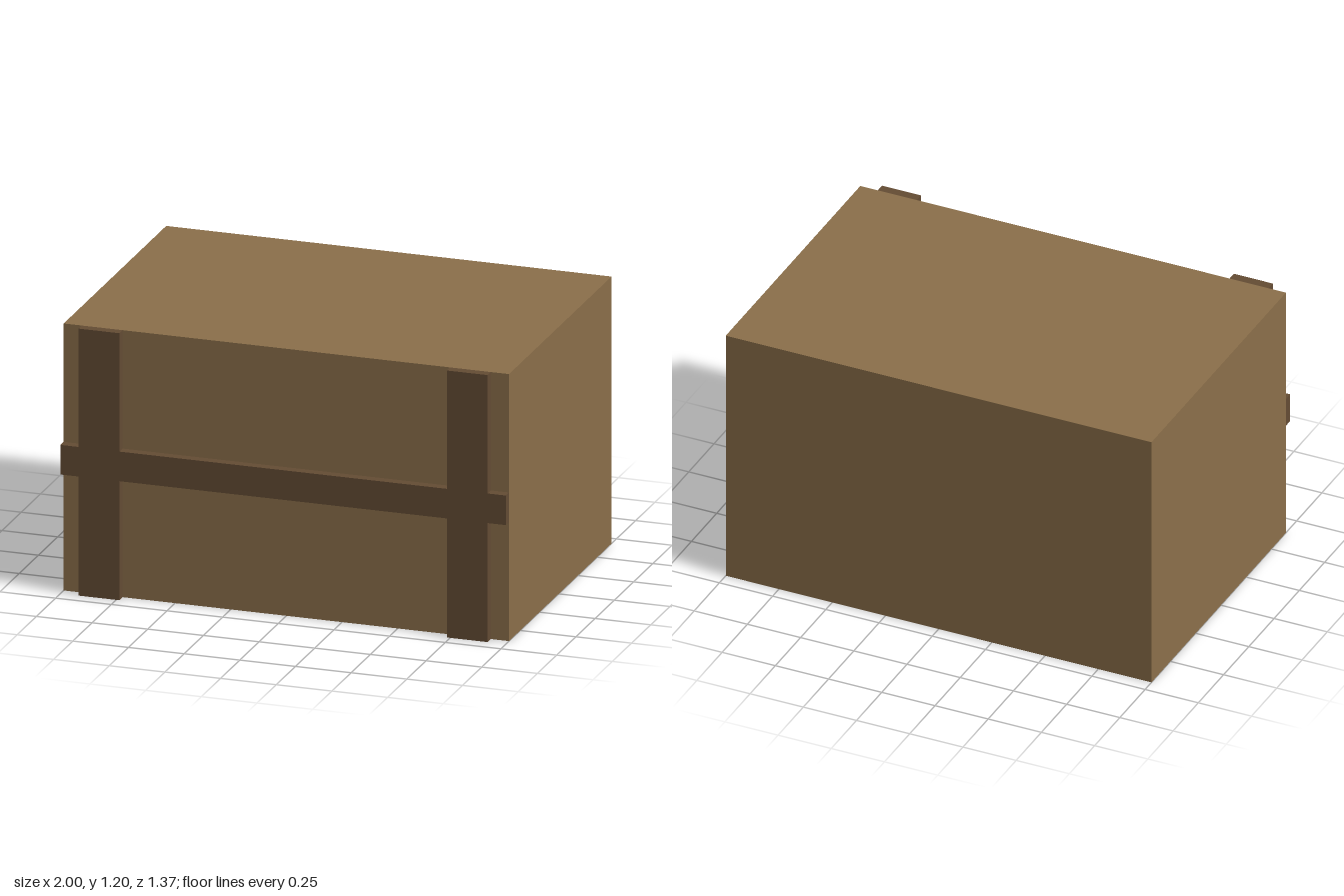
import * as THREE from 'three';

export function createModel() {
  const model = new THREE.Group();
  model.name = 'crate';

  const wood = new THREE.MeshStandardMaterial({ color: 0x8b6f4a });
  wood.name = 'wood';
  const darkWood = new THREE.MeshStandardMaterial({ color: 0x644c34 });
  darkWood.name = 'dark wood';

  const HEIGHT = 1.2;
  const BACK = -0.687;
  const FACE = 0.645;
  const FRONT = 0.687;

  // Box given by its lower and upper corners
  function addBox(name, material, [x0, y0, z0], [x1, y1, z1]) {
    const mesh = new THREE.Mesh(new THREE.BoxGeometry(x1 - x0, y1 - y0, z1 - z0), material);
    mesh.position.set((x0 + x1) / 2, (y0 + y1) / 2, (z0 + z1) / 2);
    mesh.name = name;
    model.add(mesh);
  }

  // Solid body
  addBox('body', wood, [-1, 0, BACK], [1, HEIGHT, FACE]);

  // Upright battens near both ends of the front
  addBox('rightBatten', darkWood, [-0.918, 0, FACE], [-0.735, HEIGHT, FRONT]);
  addBox('leftBatten', darkWood, [0.735, 0, FACE], [0.918, HEIGHT, FRONT]);

  // Crossbar at mid height, in three lengths fitted between the battens
  const spans = [['rightCrossbarEnd', -1, -0.918], ['crossbar', -0.735, 0.735], ['leftCrossbarEnd', 0.918, 1]];
  for (const [name, x0, x1] of spans) {
    addBox(name, darkWood, [x0, 0.535, FACE], [x1, 0.668, FRONT]);
  }

  return model;
}
